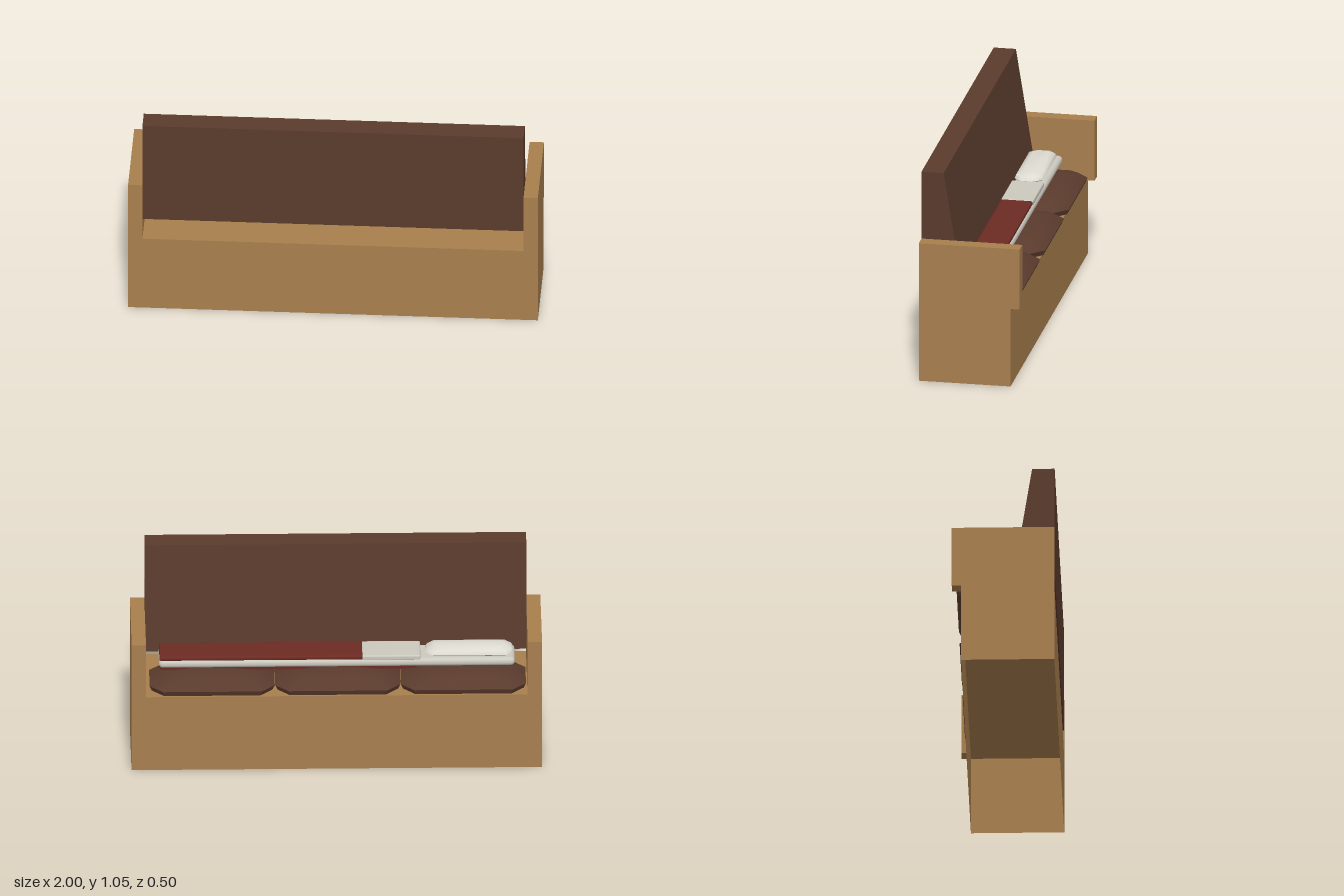
import * as THREE from 'three';
import { toCreasedNormals } from 'three/addons/utils/BufferGeometryUtils.js';
import { RoundedBoxGeometry } from 'three/addons/geometries/RoundedBoxGeometry.js';

const material = (name, color, extra = {}) => {
  const m = new THREE.MeshStandardMaterial({ color, ...extra });
  m.name = name;
  return m;
};

// Stack of chamfered rectangles, each level [y, halfX, halfZ, chamfer]
function loft(levels, crease) {
  const pos = [], idx = [];
  for (const [y, hx, hz, c] of levels) {
    const a = hx - c, b = hz - c;
    const ring = [[hx, b], [hx, -b], [a, -hz], [-a, -hz], [-hx, -b], [-hx, b], [-a, hz], [a, hz]];
    for (const [x, z] of ring) pos.push(x, y, z);
  }
  const top = (levels.length - 1) * 8;
  for (let i = 0; i < top; i += 8) {
    for (let j = 0; j < 8; j++) {
      const a = i + j, b = i + (j + 1) % 8;
      idx.push(a, b, b + 8, a, b + 8, a + 8);
    }
  }
  for (let j = 1; j < 7; j++) idx.push(0, j + 1, j, top, top + j, top + j + 1);
  const g = new THREE.BufferGeometry();
  g.setAttribute('position', new THREE.Float32BufferAttribute(pos, 3));
  g.setIndex(idx);
  return toCreasedNormals(g, crease);
}

export function createModel() {
  const model = new THREE.Group();
  model.name = 'sofaBed';
  const wood = material('wood', 0xa87f4e, { side: THREE.DoubleSide });
  const brown = material('brown upholstery', 0x5a3b2d);
  const red = material('red blanket', 0x6c2b23);
  const sheet = material('sheet', 0xcbc9be);
  const white = material('pillow white', 0xdedbd2);

  const add = (name, geometry, mat, x = 0, y = 0, z = 0) => {
    const mesh = new THREE.Mesh(geometry, mat);
    mesh.name = name;
    mesh.position.set(x, y, z);
    model.add(mesh);
    return mesh;
  };
  // Box given by its minimum and maximum corners
  const block = (name, mat, [x0, y0, z0], [x1, y1, z1], radius = 0) => {
    const size = [x1 - x0, y1 - y0, z1 - z0];
    const g = radius ? new RoundedBoxGeometry(...size, 3, radius) : new THREE.BoxGeometry(...size);
    return add(name, g, mat, (x0 + x1) / 2, (y0 + y1) / 2, (z0 + z1) / 2);
  };

  // Hollow base, open underneath
  const base = block('base', wood, [-1, 0, -0.205], [1, 0.4, 0.25]);
  const faces = Array.from(base.geometry.index.array);
  faces.splice(18, 6);
  base.geometry.setIndex(faces);
  base.geometry.clearGroups();

  // Arm panels, overhanging the seat edge
  block('leftArm', wood, [0.93, 0.4, -0.25], [1, 0.71, 0.25]);
  block('rightArm', wood, [-1, 0.4, -0.25], [-0.93, 0.71, 0.25]);

  // Sloping backrest, a side profile extruded across the width
  const profile = new THREE.Shape([[0.25, 0.515], [0.25, 1.055], [0.14, 1.055], [0.054, 0.515]]
    .map(([z, y]) => new THREE.Vector2(-z, y)));
  const back = new THREE.ExtrudeGeometry(profile, { depth: 1.86, bevelEnabled: false });
  back.translate(0, 0, -0.93).rotateY(Math.PI / 2);
  add('backrest', back, brown);

  // Three seat cushions
  const cushion = loft([
    [0.413, 0.294, 0.139, 0.06],
    [0.44, 0.305, 0.15, 0.065],
    [0.468, 0.25, 0.118, 0.055],
    [0.488, 0.185, 0.085, 0.04],
    [0.5, 0.09, 0.04, 0.02],
  ], 0.6);
  [-0.618, -0.006, 0.606].forEach((x, i) => add(`seatCushion${i + 1}`, cushion, brown, x, 0, -0.08));

  // Bedding: mattress, tucked blanket, cover and turned-down sheet
  block('mattress', sheet, [-0.87, 0.502, -0.105], [0.865, 0.545, 0.06], 0.02);
  block('blanketUnderside', red, [-0.39, 0.488, -0.09], [0.86, 0.503, 0.06]);
  block('blanket', red, [-0.13, 0.54, -0.098], [0.862, 0.562, 0.06], 0.008);
  block('sheetFold', sheet, [-0.41, 0.535, -0.1], [-0.125, 0.563, 0.06], 0.008);

  // Pillow
  add('pillow', loft([
    [0.538, 0.195, 0.055, 0.03],
    [0.552, 0.213, 0.07, 0.035],
    [0.568, 0.205, 0.064, 0.033],
    [0.58, 0.17, 0.04, 0.025],
  ], 0.9), white, -0.648, 0, -0.012);

  return model;
}
